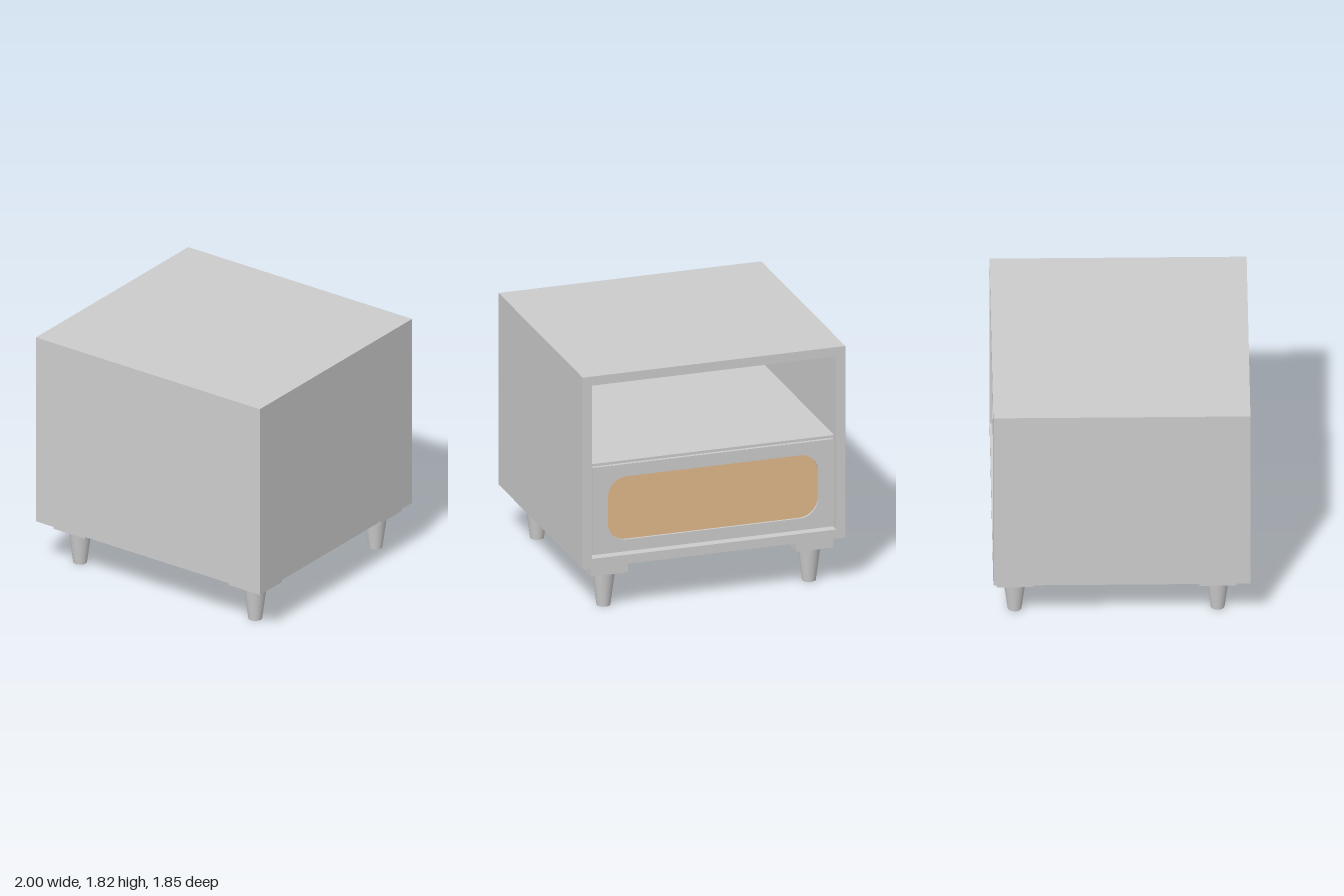
import * as THREE from 'three';

export function createModel() {
  const group = new THREE.Group();
  const grey = new THREE.MeshStandardMaterial({ color: 0xcccccc });
  grey.name = 'grey paint';
  const tan = new THREE.MeshStandardMaterial({ color: 0xe0ba8a });
  tan.name = 'tan cane';

  const add = (name, geometry, material = grey) => {
    const mesh = new THREE.Mesh(geometry, material);
    mesh.name = name;
    group.add(mesh);
    return mesh;
  };
  // box given by its minimum and maximum corners
  const box = (name, x0, x1, y0, y1, z0, z1, material) =>
    add(name, new THREE.BoxGeometry(x1 - x0, y1 - y0, z1 - z0), material)
      .position.set((x0 + x1) / 2, (y0 + y1) / 2, (z0 + z1) / 2);

  const W = 1, D = 0.925, Y0 = 0.35, Y1 = 1.82, T = 0.07;

  // cabinet shell: a square tube open towards -z, with a closing panel at +z
  const outline = new THREE.Shape([
    [-W, Y0], [W, Y0], [W, Y1], [-W, Y1],
  ].map(([x, y]) => new THREE.Vector2(x, y)));
  outline.holes.push(new THREE.Path([
    [-W + T, Y0 + T], [-W + T, Y1 - T], [W - T, Y1 - T], [W - T, Y0 + T],
  ].map(([x, y]) => new THREE.Vector2(x, y))));
  const shell = new THREE.ExtrudeGeometry(outline, { depth: 2 * D, bevelEnabled: false });
  add('cabinetShell', shell).position.z = -D;
  box('closingPanel', -W + T, W - T, Y0 + T, Y1 - T, D - T, D);

  // shelf above the drawer
  box('shelf', -W + T, W - T, 1.065, 1.13, -D + 0.045, D - T);

  // drawer front with a rounded window
  const face = new THREE.Shape([
    [-0.915, 0.44], [0.915, 0.44], [0.915, 1.11], [-0.915, 1.11],
  ].map(([x, y]) => new THREE.Vector2(x, y)));
  const wx = 0.8, wy0 = 0.53, wy1 = 1.015, r = 0.14;
  const win = new THREE.Path();
  win.absarc(wx - r, wy1 - r, r, 0, Math.PI / 2);
  win.absarc(-wx + r, wy1 - r, r, Math.PI / 2, Math.PI);
  win.absarc(-wx + r, wy0 + r, r, Math.PI, Math.PI * 1.5);
  win.absarc(wx - r, wy0 + r, r, Math.PI * 1.5, Math.PI * 2);
  win.closePath();
  face.holes.push(win);
  add('drawerFront', new THREE.ExtrudeGeometry(face, {
    depth: 0.025, bevelEnabled: false, curveSegments: 12,
  })).position.z = -D + 0.02;

  // cane sheet set into the window
  box('caneInsert', -0.85, 0.85, 0.49, 1.05, -D + 0.038, -D + 0.044, tan);

  // tapered feet on mounting blocks
  for (const x of [-0.776, 0.788]) {
    for (const z of [-0.769, 0.692]) {
      box('footBlock', x - 0.14, x + 0.14, 0.275, Y0, z - 0.132, z + 0.132);
      add('foot', new THREE.CylinderGeometry(0.086, 0.05, 0.275, 32))
        .position.set(x, 0.1375, z);
    }
  }
  return group;
}
